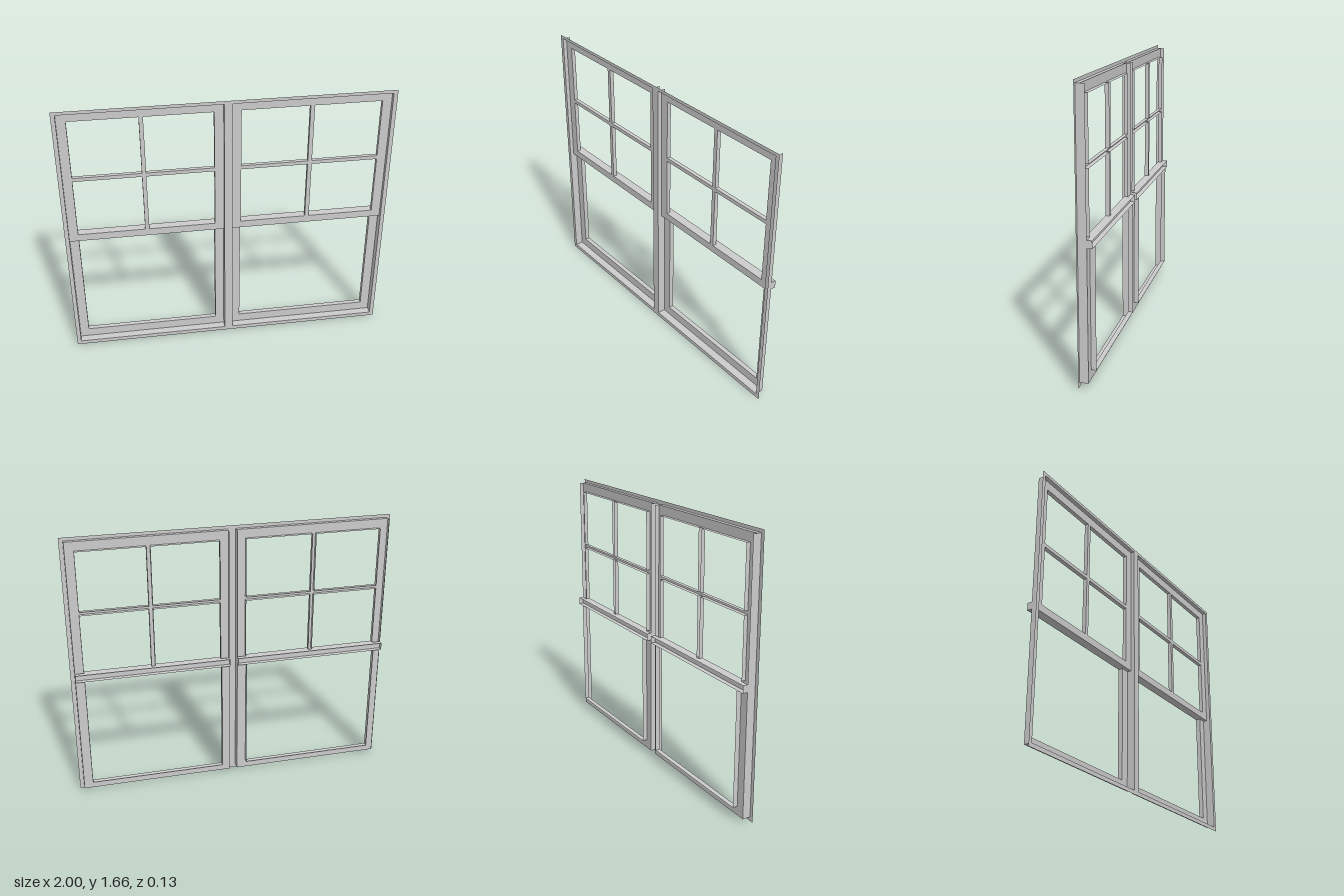
import * as THREE from 'three';

const mat = new THREE.MeshStandardMaterial({ color: 0xcccccc, side: THREE.DoubleSide, flatShading: true });

// corner list of an upright rectangle
const rect = (x0, y0, x1, y1) => [[x0, y0], [x1, y0], [x1, y1], [x0, y1]];
const toVectors = pts => pts.map(p => new THREE.Vector2(p[0], p[1]));

function add(parent, name, geometry) {
  const mesh = new THREE.Mesh(geometry, mat);
  mesh.name = name;
  parent.add(mesh);
}

// flat sheet at depth z with openings
function sheet(parent, name, outline, holes, z) {
  const shape = new THREE.Shape(toVectors(outline));
  for (const h of holes) shape.holes.push(new THREE.Path(toVectors(h)));
  add(parent, name, new THREE.ShapeGeometry(shape).translate(0, 0, z));
}

// thin wall that follows a path from depth z0 back to depth z1
function wall(parent, name, path, z0, z1, closed = true) {
  const pts = closed ? [...path, path[0]] : path;
  const pos = [];
  for (let i = 0; i + 1 < pts.length; i++) {
    const [a, b] = [pts[i], pts[i + 1]];
    pos.push(...a, z0, ...b, z0, ...b, z1, ...a, z0, ...b, z1, ...a, z1);
  }
  const g = new THREE.BufferGeometry();
  g.setAttribute('position', new THREE.Float32BufferAttribute(pos, 3));
  g.computeVertexNormals();
  add(parent, name, g);
}

const H = 1.665;              // overall height
const W = 0.475, O = 0.42;    // half widths of frame and glass opening
const FRONT = -0.025, MID = -0.05, BACK = -0.08;

function windowUnit(name) {
  const unit = new THREE.Group();
  unit.name = name;

  // outer frame: flat flange, deep jambs and sill, shallow head
  sheet(unit, 'flange', rect(-0.5, 0, 0.5, H), [rect(-W, 0.025, W, 1.645)], 0);
  wall(unit, 'jambsAndSill', [[-W, 1.645], [-W, 0.025], [W, 0.025], [W, 1.645]], 0, MID, false);
  wall(unit, 'head', [[-W, 1.645], [W, 1.645]], 0, FRONT, false);

  // upper sash with four panes, set forward
  const panes = [];
  for (const [x0, x1] of [[-O, -0.0125], [0.0125, O]])
    for (const [y0, y1] of [[0.835, 1.203], [1.226, 1.59]]) panes.push(rect(x0, y0, x1, y1));
  sheet(unit, 'upperSash', rect(-W, 0.79, W, 1.645), panes, FRONT);
  for (const p of panes) wall(unit, 'paneReveal', p, FRONT, MID);
  wall(unit, 'upperSashBottom', [[-W, 0.79], [W, 0.79]], FRONT, MID, false);

  // lower sash with one large opening, set back
  sheet(unit, 'lowerSash', rect(-W, 0.025, W, 0.835), [rect(-O, 0.08, O, 0.79)], MID);
  wall(unit, 'lowerReveal', [[-O, 0.79], [-O, 0.08], [O, 0.08], [O, 0.79]], MID, BACK, false);
  wall(unit, 'meetingRail', rect(-W, 0.79, W, 0.835), MID, BACK);
  return unit;
}

export function createModel() {
  const model = new THREE.Group();
  model.name = 'doubleWindow';
  // both units share a slightly turned plane
  const pair = new THREE.Group();
  pair.name = 'windowPair';
  for (const [name, x] of [['rightWindow', -0.5], ['leftWindow', 0.5]]) {
    const unit = windowUnit(name);
    unit.position.x = x;
    pair.add(unit);
  }
  pair.position.z = 0.04;
  pair.rotation.y = 0.0245;
  model.add(pair);
  return model;
}
